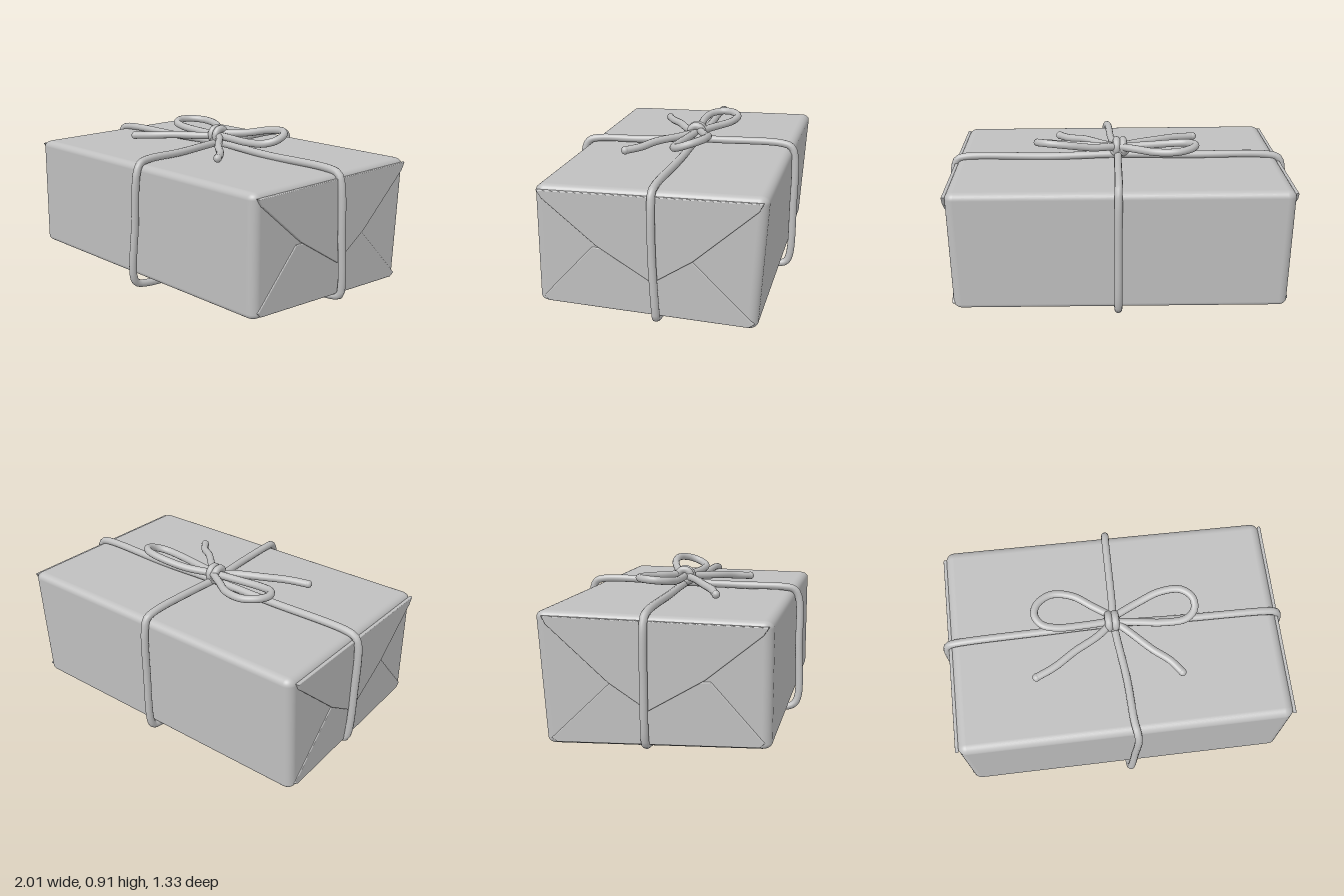
import * as THREE from 'three';
import { RoundedBoxGeometry } from 'three/addons/geometries/RoundedBoxGeometry.js';

const ROPE = 0.022;

export function createModel() {
  const group = new THREE.Group();
  const paper = new THREE.MeshStandardMaterial({ color: 0xbfbfbf });
  paper.name = 'plainGrey';

  const add = (name, geometry) => {
    const mesh = new THREE.Mesh(geometry, paper);
    mesh.name = name;
    group.add(mesh);
    return mesh;
  };

  // Rope through a few points, closed or with rounded ends
  const rope = (name, points, closed = false, radius = ROPE) => {
    const pts = points.map(p => new THREE.Vector3(...p));
    const curve = new THREE.CatmullRomCurve3(pts, closed, 'centripetal');
    add(name, new THREE.TubeGeometry(curve, closed ? 200 : 60, radius, 12, closed));
    if (!closed) {
      for (const p of [pts[0], pts[pts.length - 1]]) {
        add(name + 'End', new THREE.SphereGeometry(radius * 1.08, 12, 8)).position.copy(p);
      }
    }
  };

  // Wrapped box, its underside sloping down to the back and its lower back edge drawn in
  const box = new RoundedBoxGeometry(1.89, 1, 1.22, 6, 0.05);
  const pos = box.attributes.position;
  for (let i = 0; i < pos.count; i++) {
    const x = pos.getX(i), z = pos.getZ(i);
    const t = pos.getY(i) + 0.5;
    const bottom = 0.06 + 0.042 * z;
    const top = 0.745 - 0.01 * z;
    const back = 0.5 - z / 1.22;
    pos.setXYZ(i, x, bottom + (top - bottom) * t,
      z + back * (0.035 * (1 - t) - 0.012 * t + 0.012 * x));
  }
  add('wrappedBox', box);

  // Folded flaps on both ends, given as (z, y) outlines
  const flap = (name, side, outline, base) => {
    const shape = new THREE.Shape(outline.map(([z, y]) => new THREE.Vector2(-side * z, y)));
    const geo = new THREE.ExtrudeGeometry(shape, {
      depth: 0.008, bevelEnabled: true, bevelThickness: 0.006, bevelSize: 0.006, bevelSegments: 3,
    });
    geo.rotateY(side * Math.PI / 2);
    geo.translate(side * base, 0, 0);
    add(name, geo);
  };
  for (const side of [1, -1]) {
    const end = side > 0 ? 'left' : 'right';
    flap(end + 'BottomFlap', side,
      [[0.57, 0.125], [0.3, 0.42], [-0.22, 0.39], [-0.545, 0.075], [-0.52, 0.06], [0.55, 0.105]], 0.936);
    flap(end + 'TopFlap', side,
      [[0.585, 0.715], [0.56, 0.68], [0.27, 0.44], [-0.02, 0.265], [-0.23, 0.4], [-0.56, 0.69], [-0.58, 0.725]], 0.947);
  }

  // Rope loop over the front and back
  rope('frontBackRope', [
    [0.035, 0.768, 0.3], [0.045, 0.765, 0.54], [0.055, 0.75, 0.605], [0.06, 0.7, 0.633],
    [0.045, 0.4, 0.642], [0.025, 0.1, 0.645], [0.02, 0.052, 0.62], [0.02, 0.033, 0.56],
    [0.015, 0.022, 0], [0.015, 0.032, -0.55], [0.015, 0.05, -0.605], [0.015, 0.1, -0.625],
    [0.015, 0.4, -0.635], [0.015, 0.7, -0.635], [0.015, 0.765, -0.615], [0.012, 0.785, -0.56],
    [0.005, 0.784, -0.2], [0, 0.78, -0.04],
  ], true);

  // Rope loop over the two ends
  rope('sideRope', [
    [0, 0.775, -0.045], [0.4, 0.762, -0.035], [0.89, 0.762, -0.022], [0.945, 0.745, -0.02],
    [0.966, 0.69, -0.02], [0.978, 0.4, -0.025], [0.976, 0.11, -0.04], [0.965, 0.07, -0.04],
    [0.92, 0.055, -0.04], [0.3, 0.044, -0.04], [0, 0.026, -0.035], [-0.25, 0.05, -0.04],
    [-0.89, 0.06, -0.04], [-0.945, 0.075, -0.04], [-0.963, 0.12, -0.04], [-0.976, 0.4, -0.04],
    [-0.975, 0.69, -0.04], [-0.955, 0.74, -0.04], [-0.9, 0.76, -0.04], [-0.4, 0.768, -0.045],
  ], true);

  // Bow loops
  rope('leftBowLoop', [
    [0, 0.83, -0.065], [0.15, 0.845, -0.13], [0.28, 0.872, -0.17], [0.4, 0.884, -0.165],
    [0.462, 0.873, -0.11], [0.462, 0.85, -0.045], [0.41, 0.832, -0.003], [0.28, 0.822, 0],
    [0.14, 0.82, -0.02], [0, 0.82, -0.04],
  ]);
  rope('rightBowLoop', [
    [0, 0.83, -0.065], [-0.11, 0.835, -0.14], [-0.22, 0.842, -0.215], [-0.34, 0.85, -0.235],
    [-0.425, 0.855, -0.185], [-0.447, 0.853, -0.12], [-0.41, 0.845, -0.06], [-0.33, 0.835, -0.035],
    [-0.17, 0.825, -0.035], [0, 0.82, -0.045],
  ]);

  // Loose rope tails
  rope('leftBowTail', [
    [0, 0.82, -0.045], [0.08, 0.812, 0.03], [0.2, 0.805, 0.15], [0.29, 0.79, 0.22], [0.35, 0.782, 0.295],
  ]);
  rope('rightBowTail', [
    [0, 0.82, -0.045], [-0.1, 0.815, 0.035], [-0.24, 0.81, 0.11], [-0.36, 0.8, 0.185], [-0.47, 0.79, 0.232],
  ]);

  // Knot of two turns side by side and one turn beneath
  for (const x of [-0.03, 0.008]) {
    const turn = add('knotTurn', new THREE.TorusGeometry(0.038, ROPE, 12, 24));
    turn.rotation.y = Math.PI / 2;
    turn.position.set(x, 0.822, -0.045);
  }
  const under = add('knotBase', new THREE.TorusGeometry(0.034, ROPE, 12, 24));
  under.rotation.x = Math.PI / 2;
  under.position.set(-0.01, 0.795, -0.045);

  return group;
}
